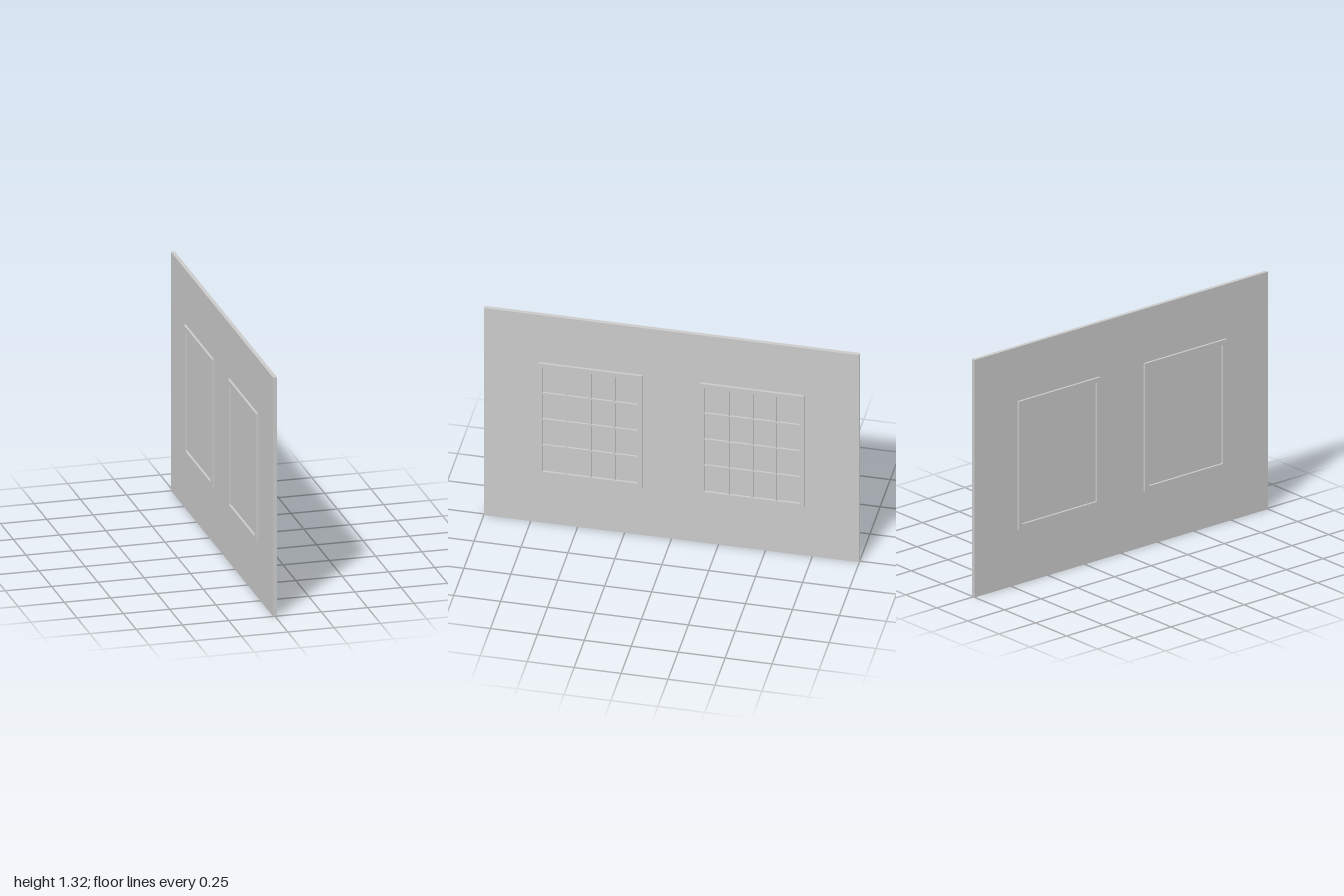
import * as THREE from 'three';

const material = new THREE.MeshStandardMaterial({ color: 0xcccccc, flatShading: true });

const WALL = { thick: 0.021, height: 1.322, length: 2 };
const WINDOW = { width: 0.557, height: 0.713, depth: 0.046, border: 0.025, y: 0.665, z: 0.431 };
const BAR = { width: 0.009, front: 0.021 };
const COLUMNS = 4, ROWS = 4;

function addBox(parent, name, size, position) {
  const mesh = new THREE.Mesh(new THREE.BoxGeometry(...size), material);
  mesh.name = name;
  mesh.position.set(...position);
  parent.add(mesh);
}

function rectangle(Type, w, h) {
  return new Type([[-w, -h], [w, -h], [w, h], [-w, h]].map(([x, y]) => new THREE.Vector2(x / 2, y / 2)));
}

function createWindow() {
  const group = new THREE.Group();
  const { width, height, depth, border } = WINDOW;
  const innerW = width - 2 * border, innerH = height - 2 * border;

  // Frame standing proud of both wall faces
  const outline = rectangle(THREE.Shape, width, height);
  outline.holes.push(rectangle(THREE.Path, innerW, innerH));
  const geometry = new THREE.ExtrudeGeometry(outline, { depth, bevelEnabled: false });
  geometry.translate(0, 0, -depth / 2).rotateY(Math.PI / 2);
  const frame = new THREE.Mesh(geometry, material);
  frame.name = 'windowFrame';
  group.add(frame);

  // Glazing bars, on the +x face only
  const barX = BAR.front / 2;
  for (let i = 1; i < COLUMNS; i++) {
    addBox(group, 'verticalBar', [BAR.front, innerH, BAR.width], [barX, 0, innerW * (i / COLUMNS - 0.5)]);
  }
  for (let i = 1; i < ROWS; i++) {
    addBox(group, 'horizontalBar', [BAR.front, BAR.width, innerW], [barX, innerH * (i / ROWS - 0.5), 0]);
  }
  return group;
}

export function createModel() {
  const model = new THREE.Group();
  model.name = 'wallWithWindows';

  // Wall panel, whose faces also close the window openings
  addBox(model, 'wall', [WALL.thick, WALL.height, WALL.length], [0, WALL.height / 2, 0]);

  // Pair of windows
  for (const side of [1, -1]) {
    const unit = createWindow();
    unit.name = side > 0 ? 'frontWindow' : 'backWindow';
    unit.position.set(0, WINDOW.y, side * WINDOW.z);
    model.add(unit);
  }
  return model;
}
